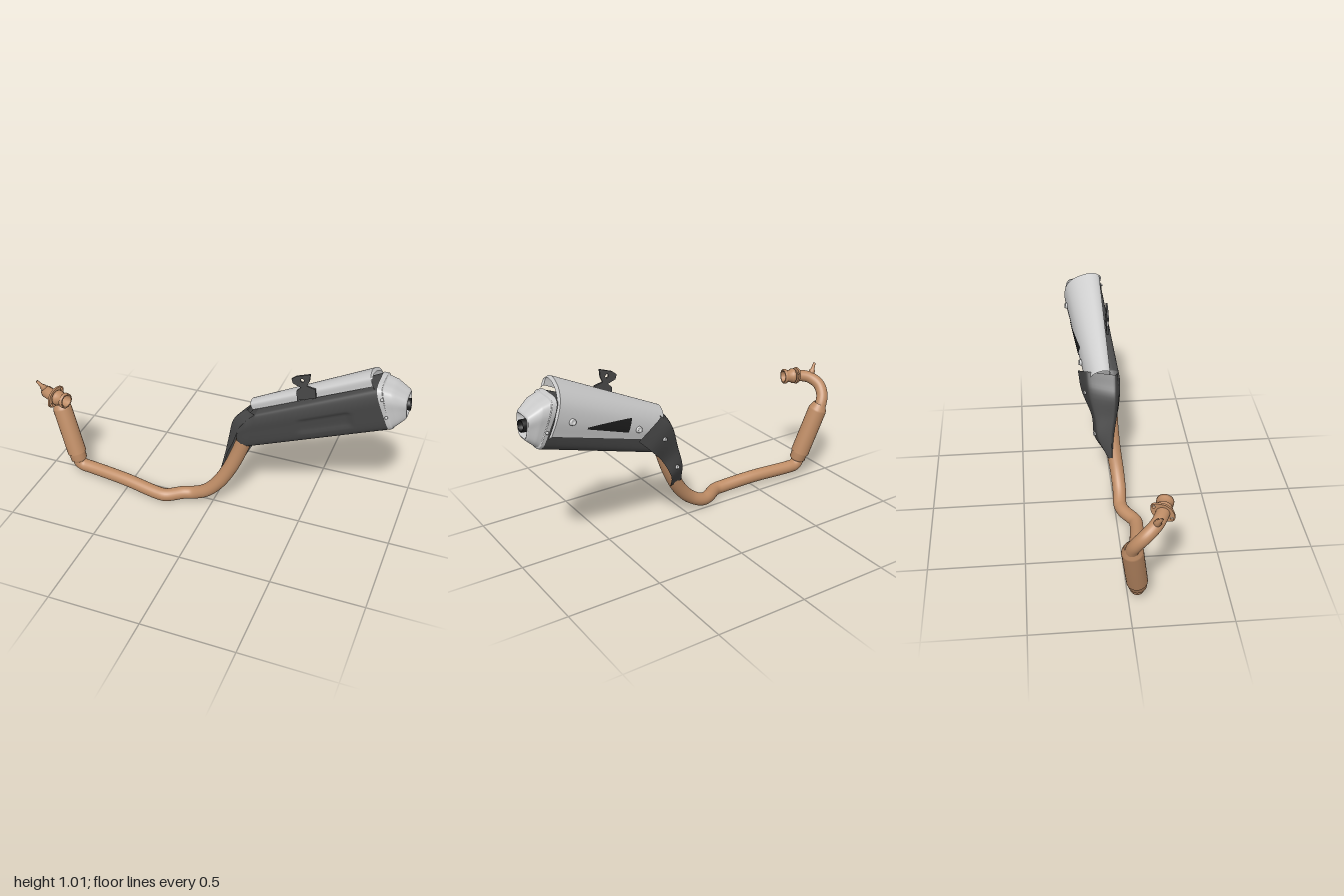
import * as THREE from 'three';

const V = (x, y, z) => new THREE.Vector3(x, y, z);
const mat = (color) => new THREE.MeshStandardMaterial({ color, side: THREE.DoubleSide });
const copper = mat(0xbf8d66), dark = mat(0x484848), black = mat(0x1c1c1c), silver = mat(0xcccccc);
const { lerp, smoothstep } = THREE.MathUtils;

// Surface from fn(u, v) with u, v in 0..1; v may wrap round
function loft(fn, nu, nv, closed) {
  const pos = [], idx = [], cols = closed ? nv : nv + 1;
  for (let i = 0; i <= nu; i++)
    for (let j = 0; j < cols; j++) pos.push(...fn(i / nu, j / nv).toArray());
  for (let i = 0; i < nu; i++)
    for (let j = 0; j < nv; j++) {
      const k = (j + 1) % cols;
      const a = i * cols + j, b = a + cols, c = i * cols + k, d = c + cols;
      idx.push(a, b, c, b, d, c);
    }
  const g = new THREE.BufferGeometry();
  g.setAttribute('position', new THREE.Float32BufferAttribute(pos, 3));
  g.setIndex(idx);
  g.computeVertexNormals();
  return g;
}

// Round pipe through points with a radius that varies along its length
function pipe(points, r0, r1, n = 90) {
  const curve = new THREE.CatmullRomCurve3(points.map((p) => V(...p)), false, 'centripetal');
  const f = curve.computeFrenetFrames(n);
  return loft((u, v) => {
    const i = Math.round(u * n), a = v * Math.PI * 2, r = lerp(r0, r1, smoothstep(u, 0.55, 0.95));
    return curve.getPointAt(u).addScaledVector(f.normals[i], r * Math.cos(a))
      .addScaledVector(f.binormals[i], -r * Math.sin(a));
  }, n, 24, true);
}

// Rounded silencer section, wider towards the top: (side, height)
const half = [[0.5, 0.015], [0.74, 0.13], [0.92, 0.5], [1, 0.75], [0.9, 0.93], [0.55, 0.995]];
const section = new THREE.CatmullRomCurve3(
  [[0, 0], ...half, [0, 1], ...half.slice().reverse().map(([x, y]) => [-x, y])].map(([x, y]) => V(x, y, 0)), true);

// Loft through stations [topX, topY, bottomX, bottomY, centreZ, halfWidth]
function stationLoft(stations, steps, dent) {
  const n = stations.length - 1;
  return loft((u, v) => {
    const k = Math.min(Math.floor(u * n + 1e-9), n - 1), f = u * n - k;
    const s = stations[k].map((a, i) => lerp(a, stations[k + 1][i], f));
    const p = section.getPoint(v);
    const w = s[5] * (dent && k === n - 1 && p.x > 0 ? 1 - 0.11 * dent(f, p.y) : 1);
    return V(lerp(s[2], s[0], p.y), lerp(s[3], s[1], p.y), s[4] + p.x * w);
  }, n * steps, 96, true);
}

export function createModel() {
  const root = new THREE.Group();
  const add = (name, geo, m) => {
    const mesh = new THREE.Mesh(geo, m);
    mesh.name = name;
    root.add(mesh);
    return mesh;
  };
  // Place a y-axis geometry at a, pointing along dir
  const aim = (mesh, a, dir) => {
    mesh.position.copy(a);
    mesh.quaternion.setFromUnitVectors(V(0, 1, 0), dir.clone().normalize());
    return mesh;
  };
  const lathe = (pts) => new THREE.LatheGeometry(pts.map(([r, y]) => new THREE.Vector2(r, y)), 32);

  // Header pipe
  add('headerPipe', pipe([[-0.8, 0.592, 0.165], [-0.87, 0.588, 0.145], [-0.93, 0.575, 0.11], [-0.962, 0.54, 0.06],
    [-0.957, 0.49, 0.02], [-0.935, 0.44, 0.002], [-0.92, 0.4, 0.003]], 0.033, 0.033, 48), copper);

  // Oval flange with two bolt holes, and the collar at the mouth
  const mouthDir = V(1, 0.05, 0.28);
  const oval = new THREE.Shape();
  oval.moveTo(0.015, -0.045);
  oval.quadraticCurveTo(0.045, -0.035, 0.062, -0.012);
  oval.quadraticCurveTo(0.07, 0, 0.062, 0.012);
  oval.quadraticCurveTo(0.045, 0.035, 0.015, 0.045);
  oval.lineTo(-0.015, 0.045);
  oval.quadraticCurveTo(-0.045, 0.035, -0.062, 0.012);
  oval.quadraticCurveTo(-0.07, 0, -0.062, -0.012);
  oval.quadraticCurveTo(-0.045, -0.035, -0.015, -0.045);
  for (const [x, r] of [[0, 0.03], [0.052, 0.008], [-0.052, 0.008]])
    oval.holes.push(new THREE.Path().absarc(x, 0, r, 0, Math.PI * 2, true));
  const plate = new THREE.ExtrudeGeometry(oval, { depth: 0.012, bevelEnabled: false, curveSegments: 16 });
  plate.rotateZ(0.6);
  const flange = add('flange', plate, copper);
  flange.position.set(-0.865, 0.589, 0.147);
  flange.lookAt(flange.position.clone().add(mouthDir));
  aim(add('mouthCollar', lathe([[0.033, 0], [0.042, 0.004], [0.042, 0.02], [0.036, 0.024], [0.036, 0.05],
    [0.042, 0.054], [0.042, 0.07], [0.03, 0.07], [0.03, 0]]), copper), V(-0.85, 0.589, 0.151), mouthDir);

  // Sensor boss on the header bend
  aim(add('sensorBoss', lathe([[0, 0], [0.017, 0], [0.017, 0.04], [0.011, 0.045], [0.007, 0.085], [0, 0.085]]), copper),
    V(-0.935, 0.58, 0.105), V(-0.04, 0.06, 0.02));

  // Catalyst canister with stepped ends
  const catTop = V(-0.928, 0.45, 0.0), catBottom = V(-0.81, 0.095, 0.046);
  const len = catTop.distanceTo(catBottom);
  aim(add('catalystCanister', lathe([[0.034, 0], [0.046, 0.012], [0.047, 0.05], [0.053, 0.054], [0.053, len - 0.045],
    [0.05, len - 0.035], [0.035, len]]), copper), catBottom, catTop.clone().sub(catBottom));

  // Long link pipe running under and up to the silencer
  add('linkPipe', pipe([[-0.82, 0.125, 0.043], [-0.81, 0.085, 0.044], [-0.785, 0.068, 0.043], [-0.74, 0.065, 0.045],
    [-0.5, 0.06, 0.073], [-0.3, 0.042, 0.097], [-0.25, 0.04, 0.095], [-0.16, 0.042, 0.04], [-0.11, 0.047, 0.027],
    [-0.03, 0.09, 0.03], [0.04, 0.165, 0.024], [0.1, 0.27, 0.01], [0.145, 0.38, 0], [0.19, 0.52, -0.005]],
  0.036, 0.042, 120), copper);

  // Silencer body with a pressed panel on its outer side
  const dent = (f, h) => smoothstep(f, 0.36, 0.4) * (1 - smoothstep(f, 0.74, 0.78)) *
    smoothstep(h, 0.24, 0.32) * (1 - smoothstep(h, 0.56, 0.64));
  add('silencerBody', stationLoft([[0.15, 0.52, 0.15, 0.52, 0, 0], [0.15, 0.56, 0.14, 0.47, 0, 0.04],
    [0.2, 0.64, 0.165, 0.447, -0.005, 0.06], [0.25, 0.69, 0.2, 0.448, -0.01, 0.068],
    [0.84, 0.95, 0.925, 0.7, -0.095, 0.101]], 40, dent), dark);

  // Tapered end cap with a recessed outlet
  add('endCap', stationLoft([[0.838, 0.953, 0.923, 0.698, -0.095, 0.104], [0.862, 0.952, 0.937, 0.706, -0.097, 0.103],
    [0.868, 0.943, 0.94, 0.714, -0.097, 0.097], [0.915, 0.93, 0.96, 0.732, -0.101, 0.09],
    [0.982, 0.89, 0.99, 0.76, -0.11, 0.065], [0.988, 0.88, 0.994, 0.77, -0.11, 0.057],
    [0.965, 0.865, 0.972, 0.785, -0.112, 0.042], [0.965, 0.825, 0.965, 0.825, -0.113, 0]], 5), silver);
  aim(add('outletPipe', lathe([[0.031, 0], [0.031, 0.04], [0.024, 0.04], [0.024, 0.008], [0, 0.008]]), black),
    V(0.96, 0.825, -0.113), V(1, 0.1, -0.05));
  for (const [x, y, z] of [[0.905, 0.8, 0.003], [0.875, 0.9, 0.008], [0.905, 0.8, -0.195], [0.935, 0.72, -0.05]])
    add('capRivet', new THREE.SphereGeometry(0.008, 12, 8), silver).position.set(x, y, z);

  // Curved cover sheet over the top and inner side: (z, y) sections at its two ends
  const curveOf = (pts, x0, y0) => new THREE.CatmullRomCurve3(
    pts.map(([z, y]) => V(x0 + (y0 - y) * 0.36, y, z)), false, 'centripetal');
  const coverStart = curveOf([[0, 0.675], [0, 0.708], [-0.03, 0.718], [-0.08, 0.7], [-0.11, 0.66],
    [-0.123, 0.61], [-0.118, 0.565]], 0.2, 0.72);
  const coverEnd = curveOf([[-0.008, 0.955], [-0.012, 0.998], [-0.055, 1.014], [-0.145, 0.985], [-0.193, 0.935],
    [-0.209, 0.86], [-0.2, 0.775]], 0.8, 1.015);
  const cover = (u, v, lift = 0) => {
    const p = coverStart.getPoint(v).lerp(coverEnd.getPoint(v), u);
    return p.add(V(0, lift * 0.25, -lift));
  };
  add('coverSheet', loft((u, v) => cover(u, v), 24, 40, false), silver);
  // Closing band along the rear lip
  add('coverLip', loft((u, v) => coverEnd.getPoint(v).add(V(u * 0.012, -u * 0.012, 0.01 * u)), 2, 40, false), silver);
  // Wedge-shaped vent in the cover
  add('coverVent', loft((u, v) => cover(lerp(0.33, 0.72, u), lerp(0.9, lerp(0.7, 0.88, u), 1 - v), 0.004), 12, 6, false), black);

  const bolt = lathe([[0, 0.009], [0.007, 0.009], [0.008, 0.013], [0.015, 0.013], [0.017, 0], [0.017, -0.012]]);
  for (const [u, v] of [[0.87, 0.84], [0.24, 0.84]])
    aim(add('coverBolt', bolt, silver), cover(u, v), V(-0.1, 0.2, -1));

  // Folded heat shield behind the upper pipe: each row runs front edge, outer edge, back corner, inner edge
  const rows = [
    [[0.06, 0.245, 0.0], [0.045, 0.25, -0.002], [0.06, 0.24, -0.022], [0.12, 0.215, -0.012]],
    [[0.085, 0.365, 0.01], [0.07, 0.37, -0.005], [0.085, 0.36, -0.075], [0.165, 0.32, -0.09]],
    [[0.125, 0.465, 0.03], [0.093, 0.48, 0.01], [0.12, 0.47, -0.088], [0.22, 0.42, -0.1]],
    [[0.17, 0.59, 0.048], [0.124, 0.61, 0.02], [0.18, 0.62, -0.12], [0.32, 0.53, -0.15]],
    [[0.245, 0.675, 0.045], [0.2, 0.69, 0.025], [0.25, 0.69, -0.125], [0.4, 0.61, -0.163]],
  ].map((r) => new THREE.CatmullRomCurve3(r.map((p) => V(...p)), false, 'catmullrom', 0.2));
  const shield = (u, v) =>
    new THREE.CatmullRomCurve3(rows.map((c) => c.getPoint(v)), false, 'centripetal').getPoint(u);
  add('heatShield', loft(shield, 24, 24, false), dark);
  for (const [u, v] of [[0.3, 0.82], [0.72, 0.82]])
    aim(add('shieldBolt', bolt, silver), shield(u, v), V(-0.3, 0.2, -1)).scale.setScalar(0.7);

  // Waisted mounting bracket on the top edge
  const tab = new THREE.Shape([[0.42, 0.92], [0.445, 0.94], [0.515, 0.965], [0.512, 0.925], [0.5, 0.895], [0.545, 0.885],
    [0.55, 0.835], [0.455, 0.8], [0.448, 0.855], [0.47, 0.88], [0.428, 0.895]].map(([x, y]) => new THREE.Vector2(x, y)));
  tab.holes.push(new THREE.Path().absarc(0.475, 0.922, 0.01, 0, Math.PI * 2, true));
  add('mountBracket', new THREE.ExtrudeGeometry(tab, { depth: 0.01, bevelEnabled: false }), dark).position.z = 0.004;

  return root;
}
